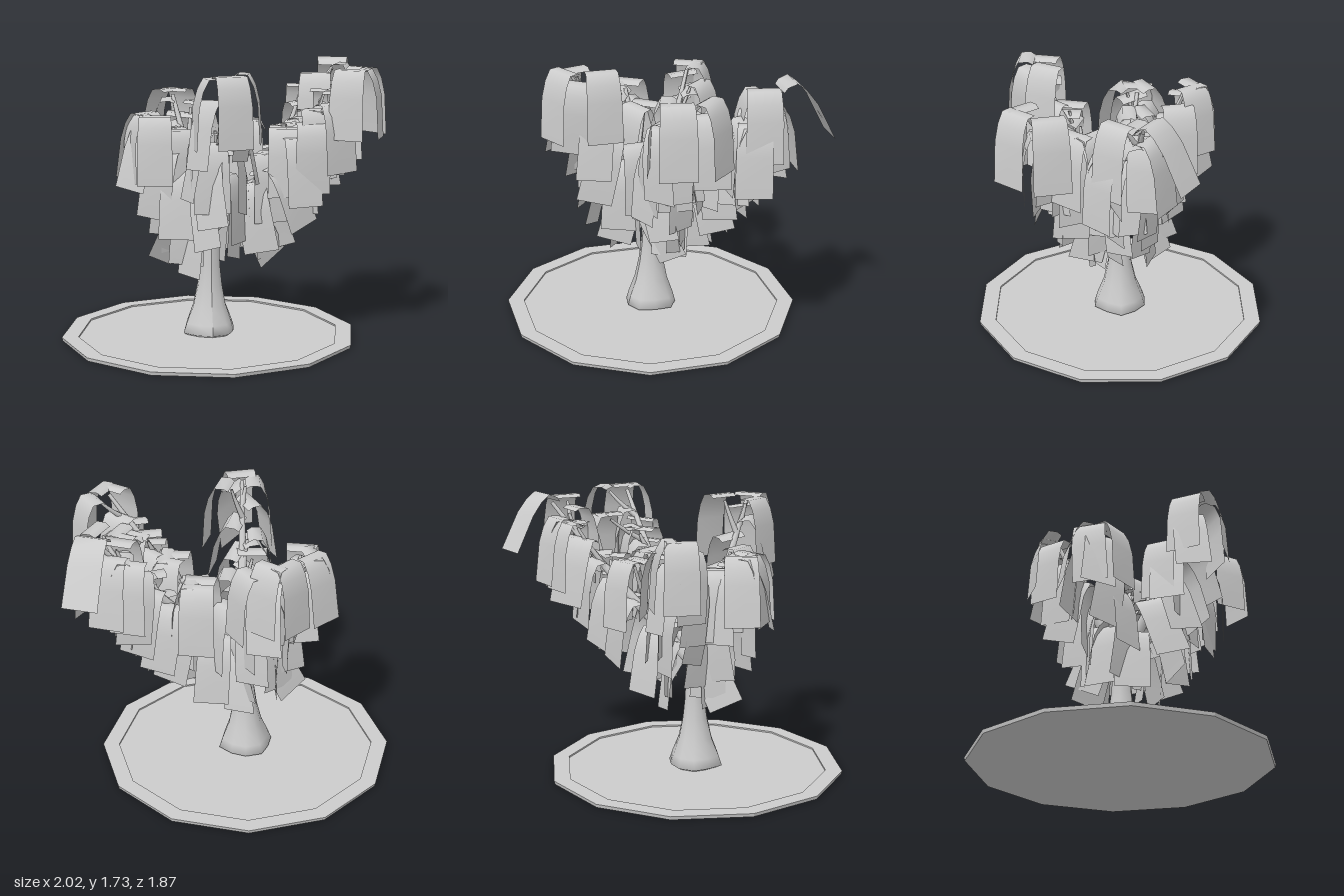
import * as THREE from 'three';

const CX = -0.065; // trunk and base axis
const material = new THREE.MeshStandardMaterial({ color: 0xcccccc, side: THREE.DoubleSide });
const flatMaterial = new THREE.MeshStandardMaterial({ color: 0xcccccc, flatShading: true });

// small seeded generator, returns -1..1
let seed = 11;
const jitter = () => {
  seed = (seed * 16807) % 2147483647;
  return (seed / 2147483647) * 2 - 1;
};

function add(parent, name, geometry, mat = material) {
  const mesh = new THREE.Mesh(geometry, mat);
  mesh.name = name;
  parent.add(mesh);
  return mesh;
}

const lathe = (points, sides) =>
  new THREE.LatheGeometry(points.map(([r, y]) => new THREE.Vector2(r, y)), sides);

// tube whose radius shrinks from r0 to r1
function taperedTube(curve, r0, r1, steps = 10, sides = 7) {
  const geo = new THREE.TubeGeometry(curve, steps, 1, sides);
  const pos = geo.attributes.position;
  const v = new THREE.Vector3();
  for (let i = 0; i < pos.count; i++) {
    const t = Math.floor(i / (sides + 1)) / steps;
    const c = curve.getPointAt(t);
    v.fromBufferAttribute(pos, i).sub(c).multiplyScalar(THREE.MathUtils.lerp(r0, r1, t)).add(c);
    pos.setXYZ(i, v.x, v.y, v.z);
  }
  geo.computeVertexNormals();
  return geo;
}

// limb that sags slightly between its ends
function limbCurve(start, end, sag) {
  const mid = start.clone().lerp(end, 0.52);
  mid.y -= sag;
  return new THREE.QuadraticBezierCurve3(start, mid, end);
}

// drooping strip: arches away along +z, then hangs, widening slightly
function frondGeometry() {
  const profile = [[0, 0.02], [0.03, 0.038], [0.09, 0.035], [0.125, -0.03], [0.15, -0.13], [0.165, -0.38]];
  const geo = new THREE.PlaneGeometry(1, 1, 1, profile.length - 1);
  const pos = geo.attributes.position;
  profile.forEach(([out, y], row) => {
    const half = 0.09 + 0.02 * (row / (profile.length - 1));
    pos.setXYZ(row * 2, -half, y, out);
    pos.setXYZ(row * 2 + 1, half, y, out);
  });
  geo.computeVertexNormals();
  return geo;
}

// each tip: position, frond directions in degrees (0 = front, 90 = left), lean of the first frond
const BRANCHES = [
  { name: 'frontBranch', pairs: 5, tip: [-0.05, 1.66, 0.54], yaws: [12], lean: 0,
    shoots: [
      { from: 0.85, tip: [-0.07, 1.64, 0.5], yaws: [-88] },
      { from: 0.8, tip: [0.02, 1.66, 0.4], yaws: [75] },
      { from: 0.4, tip: [-0.11, 1.24, 0.27], yaws: [0] },
      { from: 0.5, tip: [-0.08, 1.35, 0.33], yaws: [-88] },
      { from: 0.3, tip: [0.0, 1.15, 0.16], yaws: [80] }] },
  { name: 'rightBranch', pairs: 4, tip: [-0.42, 1.38, -0.02], yaws: [-138, -75], lean: 0.1,
    shoots: [
      { from: 0.8, tip: [-0.4, 1.38, 0.04], yaws: [-10] },
      { from: 0.5, tip: [-0.25, 1.28, -0.06], yaws: [-145, 15] }] },
  { name: 'backBranch', pairs: 5, tip: [-0.24, 1.5, -0.37], yaws: [-135, 140], lean: 0,
    shoots: [
      { from: 0.6, tip: [-0.13, 1.42, -0.33], yaws: [118] },
      { from: 0.3, tip: [0.0, 1.1, -0.13], yaws: [120] }] },
  { name: 'leftBackBranch', pairs: 6, tip: [0.81, 1.66, -0.36], yaws: [163], lean: 0.42,
    shoots: [
      { from: 0.85, tip: [0.78, 1.66, -0.25], yaws: [65] },
      { from: 0.8, tip: [0.7, 1.6, -0.32], yaws: [-20] },
      { from: 0.3, tip: [0.22, 1.31, -0.25], yaws: [172, 80, -10] },
      { from: 0.6, tip: [0.6, 1.52, -0.35], yaws: [165, 90] },
      { from: 0.55, tip: [0.5, 1.3, -0.16], yaws: [20, 110] },
      { from: 0.8, tip: [0.78, 1.46, -0.2], yaws: [60, -10] }] },
  { name: 'leftFrontBranch', pairs: 6, tip: [0.78, 1.67, 0.32], yaws: [65, -35], lean: 0,
    shoots: [
      { from: 0.85, tip: [0.82, 1.67, 0.19], yaws: [118] },
      { from: 0.3, tip: [0.24, 1.14, 0.08], yaws: [15, 90] },
      { from: 0.45, tip: [0.38, 1.3, 0.12], yaws: [-5, 80, 150] },
      { from: 0.7, tip: [0.66, 1.52, 0.02], yaws: [65, 150] },
      { from: 0.65, tip: [0.54, 1.42, 0.17], yaws: [10, 70] }] },
];

export function createModel() {
  const tree = new THREE.Group();
  tree.name = 'weepingTree';

  // twelve-sided base with a shallow recess inside the rim
  const base = add(tree, 'base', lathe(
    [[0, 0], [0.93, 0], [0.935, 0.022], [0.83, 0.022], [0.83, 0.012], [0, 0.012]], 12), flatMaterial);
  base.position.x = CX;

  // trunk with a flared, slightly lobed foot
  const trunkGeo = lathe(
    [[0.13, 0.012], [0.168, 0.03], [0.15, 0.09], [0.108, 0.2], [0.08, 0.33], [0.064, 0.46], [0.054, 0.65], [0.045, 0.76], [0, 0.78]], 10);
  const tp = trunkGeo.attributes.position;
  for (let i = 0; i < tp.count; i++) {
    const x = tp.getX(i), y = tp.getY(i), z = tp.getZ(i);
    const lobe = 1 + 0.08 * Math.max(0, 1 - y / 0.4) * Math.sin(4 * Math.atan2(x, z));
    tp.setXYZ(i, x * lobe + 0.015 * y, y, z * lobe);
  }
  trunkGeo.computeVertexNormals();
  add(tree, 'trunk', trunkGeo).position.x = CX;

  const frond = frondGeometry();
  const crown = new THREE.Vector3(-0.05, 0.68, 0);

  for (const { name, pairs, tip, yaws, lean, shoots } of BRANCHES) {
    const branch = new THREE.Group();
    branch.name = name;
    tree.add(branch);

    const hang = (point, yaw, pitch, roll) => {
      const mesh = add(branch, 'frond', frond);
      mesh.position.copy(point);
      mesh.rotation.set(pitch, yaw, roll, 'YXZ');
    };
    const hangTip = (point, directions, firstLean) => directions.forEach((deg, i) =>
      hang(point, THREE.MathUtils.degToRad(deg), i ? 0.06 * jitter() : -firstLean, i ? 0.1 * jitter() : 0));

    // main limb
    const end = new THREE.Vector3(...tip);
    const curve = limbCurve(crown, end, 0.05);
    add(branch, 'limb', taperedTube(curve, 0.042, 0.012));
    hangTip(end, yaws, lean);

    // pairs of fronds along the limb, looser near the trunk
    const heading = Math.atan2(end.x - crown.x, end.z - crown.z);
    for (let i = 0; i < pairs; i++) {
      const loose = 1 - i / pairs;
      for (const side of [-1, 1]) {
        const t = 0.2 + 0.66 * ((i + 0.25 * side + 0.25 * jitter()) / (pairs - 1));
        const yaw = heading + side * (1.1 + 0.45 * jitter());
        hang(curve.getPoint(t), yaw, 0.15 * jitter(), -side * 0.25 * loose + 0.3 * loose * jitter());
      }
    }

    // side shoots with their own fronds
    for (const shoot of shoots) {
      const shootEnd = new THREE.Vector3(...shoot.tip);
      add(branch, 'shoot', taperedTube(limbCurve(curve.getPoint(shoot.from), shootEnd, 0.02), 0.02, 0.009, 6, 5));
      hangTip(shootEnd, shoot.yaws, 0);
    }
  }
  return tree;
}
